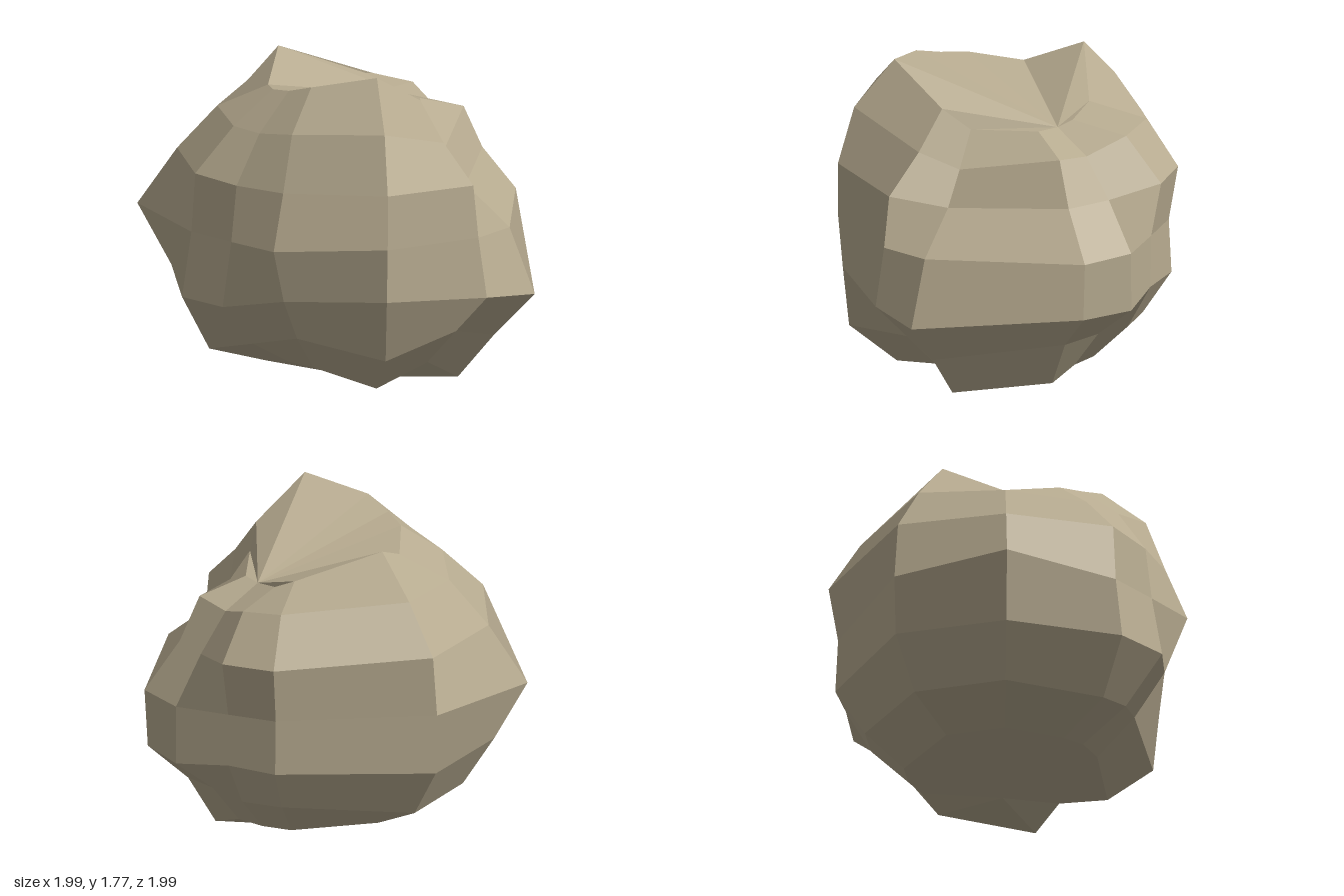
import * as THREE from 'three';

// Distance from the core to the surface, one row per meridian:
// [azimuth in degrees, then radii from the top ring to the bottom ring]
const MERIDIANS = [
  [0, 0.69, 0.77, 0.83, 0.96, 1.01, 0.87, 0.90],
  [18, 0.69, 0.82, 0.81, 0.97, 1.00, 0.89, 0.97],
  [72, 0.70, 0.65, 0.68, 0.90, 1.10, 1.00, 1.03],
  [90, 0.83, 0.80, 0.90, 0.89, 1.00, 0.90, 0.90],
  [126, 1.06, 1.02, 0.95, 0.90, 0.92, 1.04, 1.01],
  [162, 0.97, 0.99, 0.95, 1.02, 0.94, 0.90, 0.90],
  [180, 0.91, 0.93, 0.97, 0.96, 1.08, 0.98, 0.89],
  [198, 0.88, 0.92, 1.02, 0.99, 1.10, 1.09, 0.92],
  [234, 0.82, 0.92, 1.00, 1.16, 1.03, 1.00, 0.90],
  [270, 0.98, 0.97, 1.02, 1.00, 1.04, 1.01, 0.90],
  [324, 0.78, 0.94, 0.97, 0.87, 0.93, 0.90, 0.90],
  [342, 0.70, 0.90, 0.98, 0.87, 0.91, 0.90, 0.90],
];
const POLAR = [34.5, 53, 71.5, 89.5, 108, 126, 144.5];
const CORE = new THREE.Vector3(0.025, 0.9, 0);

function createBoulderGeometry() {
  const rad = THREE.MathUtils.degToRad;
  const points = MERIDIANS.map(([azimuth, ...radii]) => radii.map((r, j) =>
    new THREE.Vector3().setFromSphericalCoords(r, rad(POLAR[j]), rad(90 - azimuth)).add(CORE)));
  const bottom = new THREE.Vector3(CORE.x, 0, CORE.z);

  // Adds a three- or four-cornered facet with a single normal
  const positions = [];
  const normals = [];
  const addFacet = (a, b, c, d = a) => {
    const normal = c.clone().sub(a).cross(d.clone().sub(b)).normalize();
    const corners = d === a ? [a, b, c] : [a, b, c, a, c, d];
    for (const corner of corners) {
      positions.push(...corner);
      normals.push(...normal);
    }
  };

  const columns = points.length;
  const last = POLAR.length - 1;
  points.forEach((here, i) => {
    const next = points[(i + 1) % columns];
    // Side facets
    for (let j = 0; j < last; j++) addFacet(here[j], next[j], next[j + 1], here[j + 1]);
    // Underside fan
    addFacet(bottom, here[last], next[last]);
    // Sloping top, fanned from the low corner of its rim
    if (i > 0 && i < columns - 1) addFacet(points[0][0], next[0], here[0]);
  });

  const geometry = new THREE.BufferGeometry();
  geometry.setAttribute('position', new THREE.Float32BufferAttribute(positions, 3));
  geometry.setAttribute('normal', new THREE.Float32BufferAttribute(normals, 3));
  return geometry;
}

export function createModel() {
  const group = new THREE.Group();
  group.name = 'rock';
  const stone = new THREE.MeshStandardMaterial({ color: 0xb7ab90 });
  const boulder = new THREE.Mesh(createBoulderGeometry(), stone);
  boulder.name = 'boulder';
  group.add(boulder);
  return group;
}
